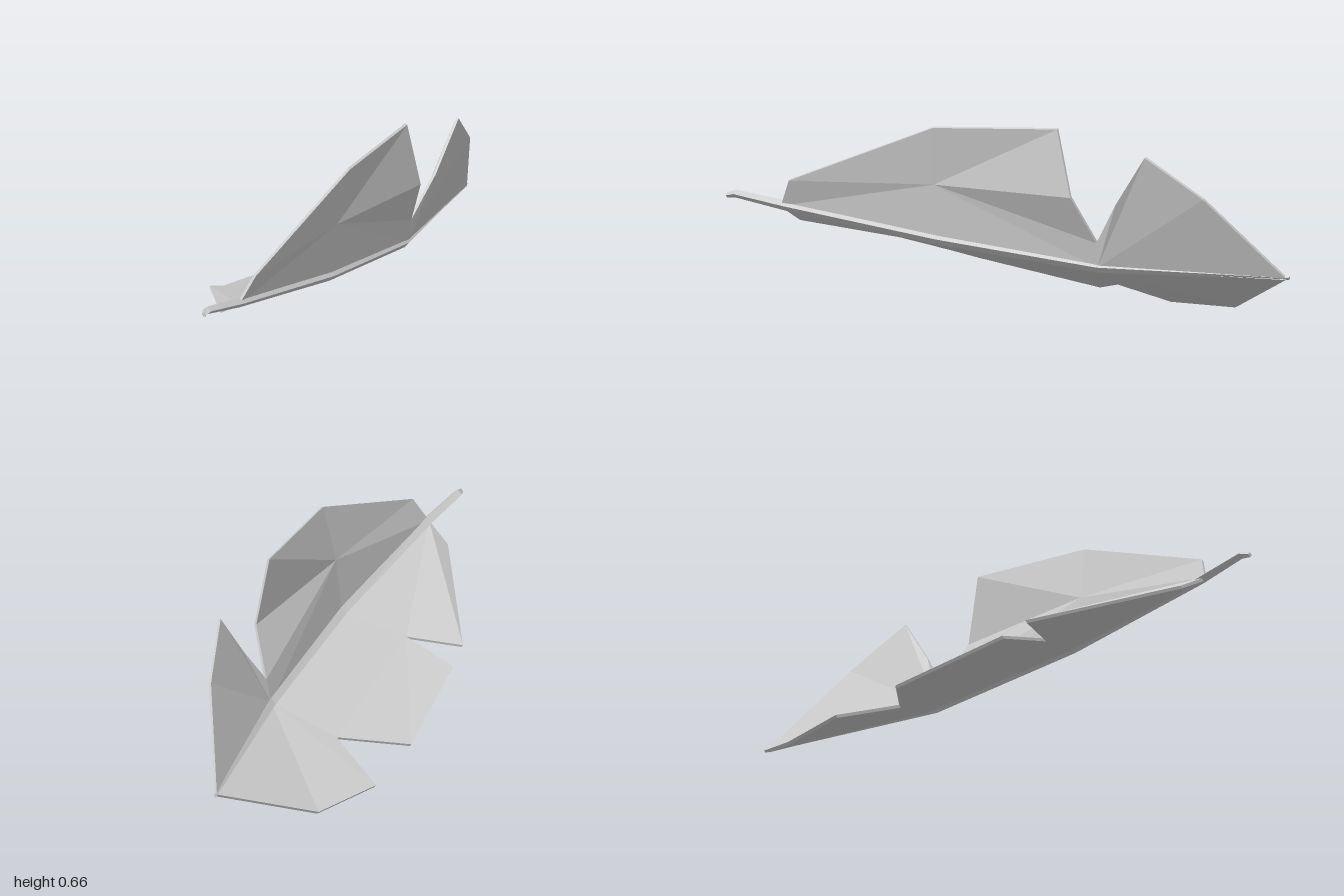
import * as THREE from 'three';

const material = new THREE.MeshStandardMaterial({ color: 0xcccccc, flatShading: true });

function makeMesh(name, positions) {
  const geometry = new THREE.BufferGeometry();
  geometry.setAttribute('position', new THREE.Float32BufferAttribute(positions.flat(), 3));
  geometry.computeVertexNormals();
  const mesh = new THREE.Mesh(geometry, material);
  mesh.name = name;
  return mesh;
}

// Thin solid sheet: each polygon is a fan of named points, backed by a shifted copy
// and closed with a rim along every unshared edge.
function sheet(name, points, polygons, offset) {
  const front = (k) => points[k];
  const back = (k) => points[k].map((v, i) => v + offset[i]);
  const out = [];
  const edges = new Set();
  for (const poly of polygons) {
    for (let i = 1; i < poly.length - 1; i++) {
      const [a, b, c] = [poly[0], poly[i], poly[i + 1]];
      out.push(front(a), front(b), front(c), back(a), back(c), back(b));
      for (const [p, q] of [[a, b], [b, c], [c, a]]) edges.add(p + ' ' + q);
    }
  }
  for (const edge of edges) {
    const [p, q] = edge.split(' ');
    if (edges.has(q + ' ' + p)) continue;
    out.push(front(p), back(p), back(q), front(p), back(q), front(q));
  }
  return makeMesh(name, out);
}

// Tapered shaft with a diamond section; stations are [x, y, z, halfWidth, halfHeight].
function shaft(name, stations) {
  const rings = stations.map(([x, y, z, w, h]) =>
    [[x + w, y, z], [x, y + h, z], [x - w, y, z], [x, y - h, z]]);
  const out = [];
  for (let s = 0; s < rings.length - 1; s++) {
    for (let i = 0; i < 4; i++) {
      const j = (i + 1) % 4;
      const [a, b, c, d] = [rings[s][i], rings[s][j], rings[s + 1][j], rings[s + 1][i]];
      out.push(a, c, b, a, d, c);
    }
  }
  const first = rings[0], last = rings[rings.length - 1];
  out.push(first[0], first[1], first[2], first[0], first[2], first[3]);
  out.push(last[0], last[2], last[1], last[0], last[3], last[2]);
  return makeMesh(name, out);
}

export function createModel() {
  const group = new THREE.Group();
  group.name = 'feather';

  // Points where both vanes meet the shaft
  const spine = {
    S0: [0.295, 0.33, 0.79], S1: [0.235, 0.25, 0.2],
    S2: [0.12, 0.18, -0.37], S3: [-0.1, 0.16, -0.99],
  };

  // Wide, low vane with two notches
  const wide = {
    ...spine,
    A: [0.2, 0.275, 0.77], B: [-0.155, 0.168, 0.37], C: [0.02, 0.185, 0.28],
    D: [-0.18, 0.132, 0.28], E: [-0.3, 0.045, -0.13], F: [-0.115, 0.092, -0.31],
    G: [-0.338, 0.01, -0.39], H: [-0.3, 0.016, -0.67],
  };
  group.add(sheet('rightVane', wide, [
    ['S0', 'S1', 'C', 'B', 'A'],
    ['C', 'S1', 'S2', 'F', 'E', 'D'],
    ['S2', 'S3', 'H', 'G', 'F'],
  ], [0.007, -0.009, 0]));

  // Upright vane with one deep notch
  const upright = {
    ...spine,
    a: [0.327, 0.425, 0.74], b: [0.3, 0.646, 0.18], c: [0.208, 0.662, -0.26],
    d: [0.22, 0.43, -0.32], e: [0.137, 0.267, -0.375], M: [0.26, 0.443, 0.2],
    h: [0.168, 0.41, -0.47], f: [0.175, 0.583, -0.59], g: [0.085, 0.44, -0.77],
  };
  group.add(sheet('leftVane', upright, [
    ['M', 'S0', 'a', 'b', 'c', 'd', 'e', 'S2', 'S1', 'S0'],
    ['S2', 'e', 'h', 'f', 'g', 'S3'],
  ], [0.009, -0.004, 0]));

  // Central shaft, ending in the bare quill
  group.add(shaft('shaft', [
    [0.312, 0.349, 1, 0.009, 0.009],
    [0.303, 0.355, 0.97, 0.017, 0.014],
    [0.297, 0.328, 0.78, 0.02, 0.018],
    [0.237, 0.247, 0.2, 0.02, 0.021],
    [0.12, 0.177, -0.37, 0.018, 0.02],
    [-0.1, 0.158, -1, 0.006, 0.007],
  ]));
  return group;
}
